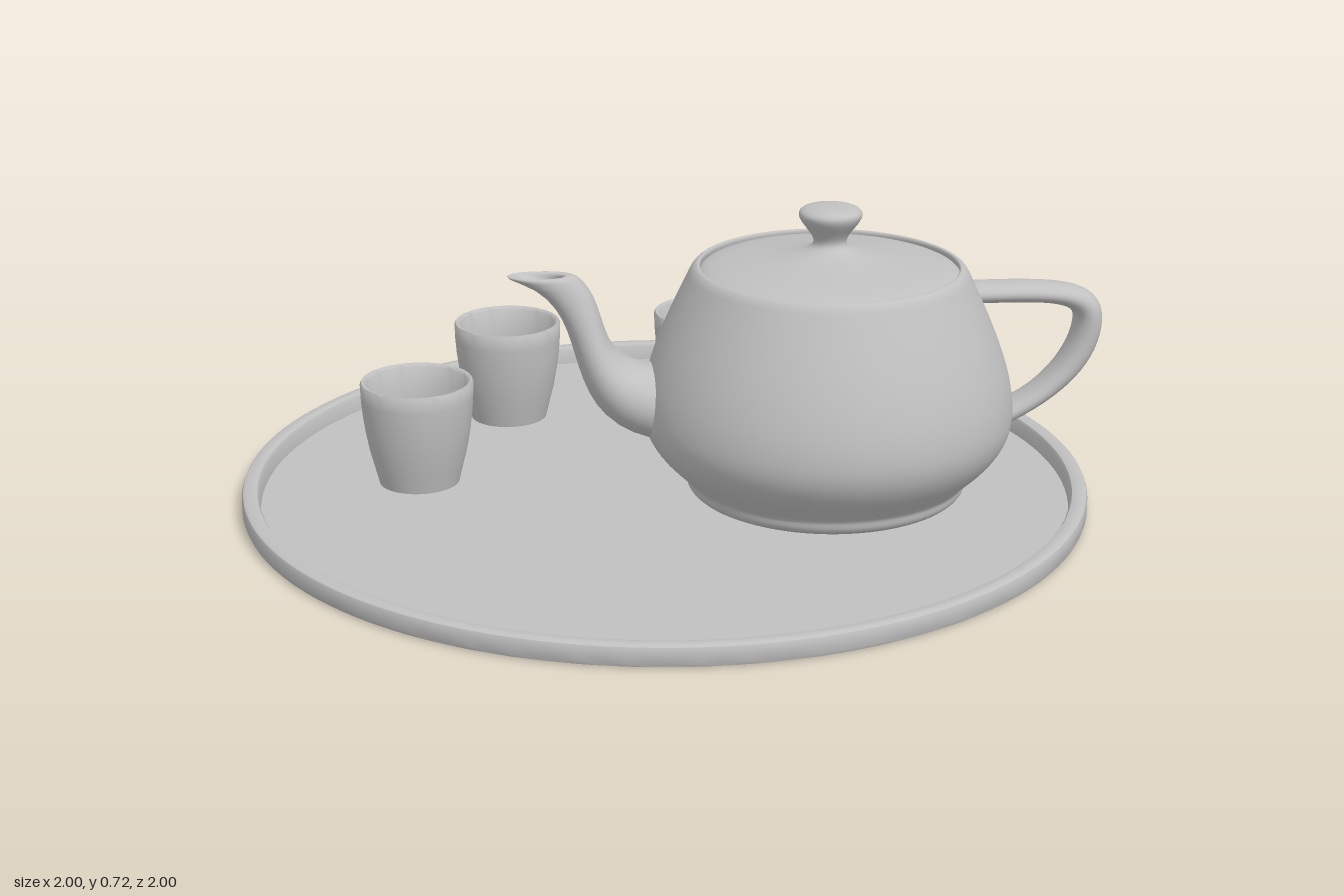
import * as THREE from 'three';
import { toCreasedNormals } from 'three/addons/utils/BufferGeometryUtils.js';

const ceramic = new THREE.MeshStandardMaterial({ color: 0xc0c0c0, side: THREE.DoubleSide });
ceramic.name = 'greyCeramic';

const V = (x, y) => new THREE.Vector2(x, y);

function part(geometry, name) {
  const mesh = new THREE.Mesh(geometry, ceramic);
  mesh.name = name;
  return mesh;
}

// Joins cubic Bezier pieces (each 4 x,y pairs) into one list of points.
function bezierPath(pieces, steps) {
  const points = [];
  pieces.forEach((p, i) => {
    const curve = new THREE.CubicBezierCurve(V(p[0], p[1]), V(p[2], p[3]), V(p[4], p[5]), V(p[6], p[7]));
    points.push(...curve.getPoints(steps).slice(i ? 1 : 0));
  });
  return points;
}

// Tube swept between two edge curves, with a half-width for each curve point.
function sweptTube(first, second, widths, ring = 32) {
  const pos = [], index = [];
  first.forEach((a, i) => {
    for (let j = 0; j < ring; j++) {
      const turn = (2 * j) / ring;
      const t = turn <= 1 ? turn : 2 - turn;
      const p = a.clone().lerp(second[i], t * t * (3 - 2 * t));
      const side = 3 * t * (1 - t) * widths[i].y * (turn <= 1 ? 1 : -1);
      pos.push(p.x, p.y, side);
      if (i < first.length - 1) {
        const k = (j + 1) % ring, r = i * ring, n = r + ring;
        index.push(r + j, r + k, n + j, r + k, n + k, n + j);
      }
    }
  });
  const g = new THREE.BufferGeometry();
  g.setAttribute('position', new THREE.Float32BufferAttribute(pos, 3));
  g.setIndex(index);
  g.computeVertexNormals();
  return g;
}

function createTeapot() {
  const pot = new THREE.Group();
  pot.name = 'teapot';

  // Body: base, belly, shoulder and rolled lip
  pot.add(part(new THREE.LatheGeometry(bezierPath([
    [0, -0.12, 1.35, -0.12, 1.52, -0.05, 1.52, 0.12],
    [1.52, 0.12, 1.52, 0.225, 2, 0.45, 2, 0.9],
    [2, 0.9, 2, 1.35, 1.75, 1.875, 1.5, 2.4],
    [1.5, 2.4, 1.4375, 2.53125, 1.3375, 2.53125, 1.4, 2.4],
  ], 14), 80), 'body'));

  // Lid with its knob
  pot.add(part(new THREE.LatheGeometry(bezierPath([
    [1.4, 2.4, 1.4, 2.55, 0.43, 2.55, 0.21, 2.7],
    [0.21, 2.7, 0.02, 2.84, 0.73, 3.15, 0, 3.15],
  ], 18), 64), 'lid'));

  // Spout with a lip that folds inward
  pot.add(part(sweptTube(
    bezierPath([[1.7, 1.425, 2.6, 1.425, 2.3, 2.1, 2.68, 2.44], [2.68, 2.44, 2.76, 2.5, 2.9, 2.475, 2.8, 2.4]], 16),
    bezierPath([[1.7, 0.6, 3.1, 0.825, 2.4, 2.025, 3.3, 2.4], [3.3, 2.4, 3.525, 2.49375, 3.45, 2.5125, 3.2, 2.4]], 16),
    bezierPath([[0, 0.66, 1, 0.66, 2, 0.25, 3, 0.25], [3, 0.25, 4, 0.25, 5, 0.15, 6, 0.15]], 16),
  ), 'spout'));

  // Handle, from its inner edge to its outer edge
  pot.add(part(sweptTube(
    bezierPath([[-1.6, 2.025, -2.3, 2.025, -2.7, 2.025, -2.7, 1.8], [-2.7, 1.8, -2.7, 1.575, -2.5, 1.125, -2, 0.9]], 16),
    bezierPath([[-1.5, 2.25, -2.5, 2.25, -3, 2.25, -3, 1.8], [-3, 1.8, -3, 1.35, -2.65, 0.9375, -1.9, 0.6]], 16),
    bezierPath([[0, 0.3, 1, 0.3, 2, 0.3, 3, 0.3], [3, 0.3, 4, 0.3, 5, 0.3, 6, 0.3]], 16),
  ), 'handle'));

  pot.scale.setScalar(0.217);
  pot.position.set(0.27, 0.032, 0.273);
  pot.rotation.y = THREE.MathUtils.degToRad(148);
  return pot;
}

export function createModel() {
  const model = new THREE.Group();
  model.name = 'teaSet';

  // Thin round tray with a raised rim
  const trayProfile = [
    V(0, 0.002), V(0.96, 0.002), V(0.963, 0), V(0.99, 0), V(0.997, 0.003), V(1, 0.01), V(1, 0.038), V(0.997, 0.046),
    V(0.99, 0.05), V(0.972, 0.05), V(0.964, 0.047), V(0.96, 0.04), V(0.957, 0.006), V(0, 0.006),
  ];
  model.add(part(toCreasedNormals(new THREE.LatheGeometry(trayProfile, 128), 0.65), 'tray'));

  model.add(createTeapot());

  // Three hollow cups
  const cupProfile = [
    V(0, 0.006), V(0.096, 0.006), V(0.107, 0.05), V(0.117, 0.09), V(0.125, 0.135), V(0.131, 0.18), V(0.134, 0.22),
    V(0.135, 0.255), V(0.132, 0.26), V(0.126, 0.26), V(0.122, 0.255), V(0.119, 0.18), V(0.112, 0.13),
    V(0.1, 0.075), V(0.086, 0.025), V(0, 0.025),
  ];
  const cupGeometry = toCreasedNormals(new THREE.LatheGeometry(cupProfile, 48), 0.9);
  [[-0.437, -0.4], [0, -0.647], [0.455, -0.4]].forEach(([x, z]) => {
    const cup = part(cupGeometry, 'cup');
    cup.position.set(x, 0, z);
    model.add(cup);
  });

  return model;
}
